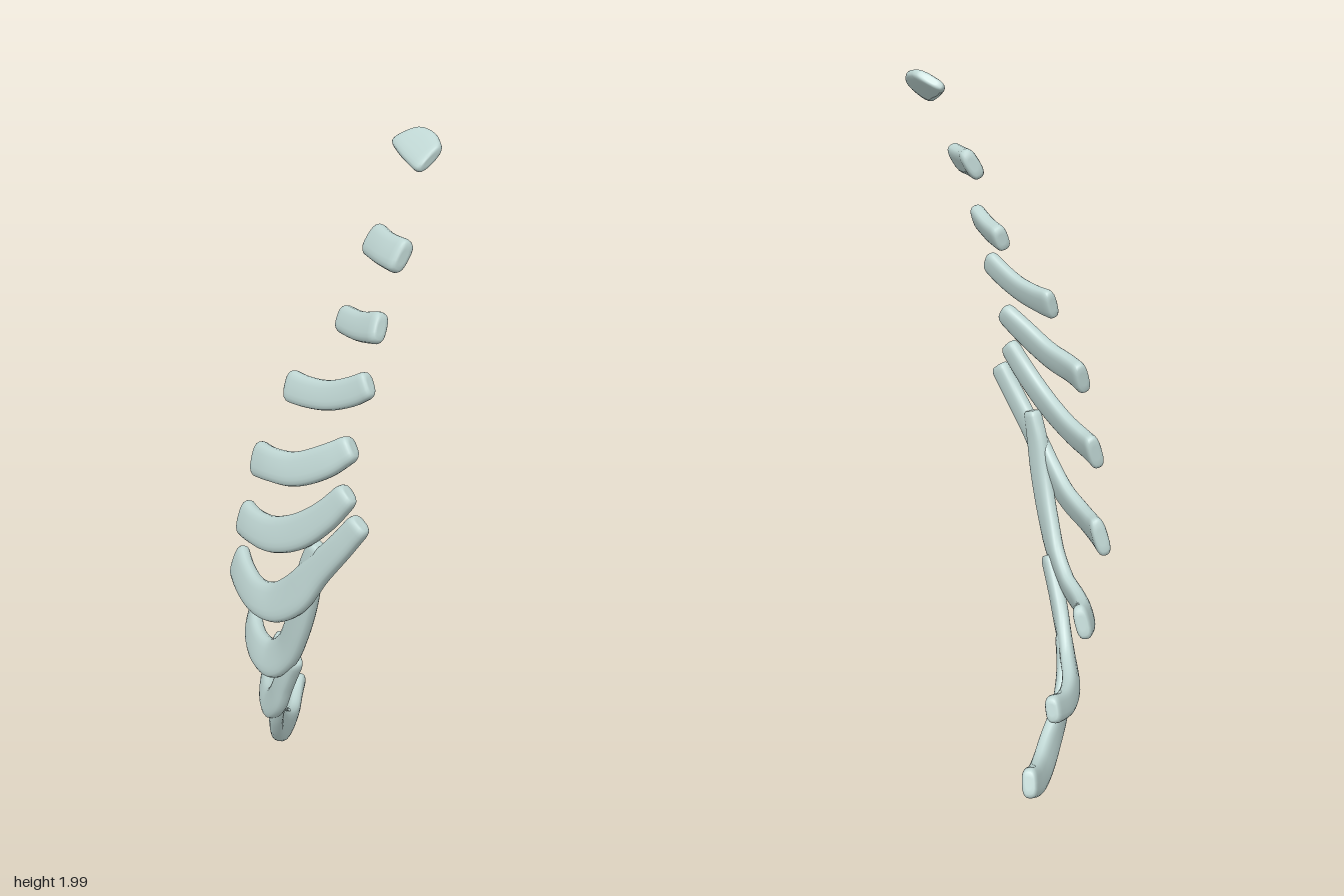
import * as THREE from 'three';

const SIDES = 20, STEPS = 36;

// Signed power that squares off an ellipse into a rounded bar section
const soft = (v) => Math.sign(v) * Math.pow(Math.abs(v), 0.72);

// Sweeps a flattened bar along stations [x, y, z, height].
// out: facing direction of the broad side (default points away from the chest axis)
// skew: slant of the two end cuts
function barGeometry(stations, { thick = 0.046, out = null, skew = [0, 0] } = {}) {
  const path = new THREE.CatmullRomCurve3(stations.map((s) => new THREE.Vector3(s[0], s[1], s[2])));
  const heights = new THREE.SplineCurve(stations.map((s, i) => new THREE.Vector2(i, s[3])));
  const r = 0.022 / path.getLength();

  // Rings as [position along path, scale], with rounded, closed ends
  const cap = [[0, 0], [0, 0.4], [0, 0.72], [0.25 * r, 0.88], [0.6 * r, 0.96], [r, 1]];
  const rings = [...cap];
  for (let i = 1; i < STEPS; i++) rings.push([r + (1 - 2 * r) * i / STEPS, 1]);
  rings.push(...cap.map(([t, s]) => [1 - t, s]).reverse());

  const pos = [], index = [];
  rings.forEach(([t, scale], i) => {
    const p = path.getPoint(t), T = path.getTangent(t);
    const N = out ? new THREE.Vector3(...out)
      : new THREE.Vector3(p.x - 0.22, 0, p.z + 0.4).normalize().setY(0.3);
    N.addScaledVector(T, -N.dot(T)).normalize();
    const W = new THREE.Vector3().crossVectors(N, T);
    W.addScaledVector(T, THREE.MathUtils.lerp(skew[0], skew[1], t));
    const h = heights.getPoint(t).y;
    for (let j = 0; j < SIDES; j++) {
      const a = j / SIDES * Math.PI * 2;
      const v = p.clone()
        .addScaledVector(N, soft(Math.cos(a)) * scale * thick / 2)
        .addScaledVector(W, soft(Math.sin(a)) * scale * h / 2);
      pos.push(v.x, v.y, v.z);
      if (i < rings.length - 1) {
        const k = (j + 1) % SIDES, A = i * SIDES, B = A + SIDES;
        index.push(A + j, B + j, A + k, B + j, B + k, A + k);
      }
    }
  });
  const g = new THREE.BufferGeometry();
  g.setAttribute('position', new THREE.Float32BufferAttribute(pos, 3));
  g.setIndex(index);
  g.computeVertexNormals();
  return g;
}

export function createModel() {
  const group = new THREE.Group();
  group.name = 'costalCartilages';
  const cartilage = new THREE.MeshStandardMaterial({ color: 0xbfd6d3 });
  cartilage.name = 'paleCartilage';

  const add = (name, stations, options) => {
    const mesh = new THREE.Mesh(barGeometry(stations, options), cartilage);
    mesh.name = name;
    group.add(mesh);
  };

  // Short upper pieces, tipped back
  add('firstCartilage', [
    [0.12, 1.976, -0.188, 0.085], [0.19, 1.958, -0.155, 0.105], [0.255, 1.935, -0.115, 0.09],
  ], { thick: 0.032, out: [-0.1, 0.76, 0.65], skew: [0.5, -0.3] });
  add('secondCartilage', [
    [0.147, 1.735, -0.02, 0.092], [0.23, 1.73, 0.03, 0.088], [0.318, 1.73, 0.07, 0.092],
  ], { out: [-0.4, 0.5, 0.75] });
  add('thirdCartilage', [
    [0.1, 1.525, 0.045, 0.076], [0.2, 1.532, 0.09, 0.078], [0.296, 1.556, 0.127, 0.085],
  ], { out: [-0.45, 0.37, 0.86] });

  // Middle pieces, rising toward the breastbone
  add('fourthCartilage', [
    [-0.008, 1.338, 0.141, 0.09], [0.07, 1.34, 0.156, 0.084], [0.16, 1.354, 0.167, 0.08],
    [0.24, 1.385, 0.17, 0.078], [0.296, 1.418, 0.168, 0.072],
  ], { thick: 0.04 });
  add('fifthCartilage', [
    [-0.08, 1.122, 0.195, 0.102], [0, 1.132, 0.222, 0.094], [0.1, 1.15, 0.236, 0.094],
    [0.2, 1.198, 0.232, 0.09], [0.28, 1.255, 0.214, 0.072],
  ]);
  add('sixthCartilage', [
    [-0.15, 0.918, 0.18, 0.108], [-0.08, 0.92, 0.212, 0.1], [0.02, 0.935, 0.242, 0.102],
    [0.13, 0.984, 0.258, 0.1], [0.22, 1.055, 0.258, 0.085], [0.295, 1.14, 0.248, 0.07],
  ]);

  // Long lower pieces that join into the costal margin
  add('seventhCartilage', [
    [-0.258, 0.712, 0.095, 0.118], [-0.18, 0.698, 0.15, 0.108], [-0.08, 0.695, 0.205, 0.105],
    [0.02, 0.72, 0.235, 0.115], [0.11, 0.785, 0.25, 0.115], [0.19, 0.885, 0.252, 0.09],
    [0.27, 0.98, 0.252, 0.075], [0.334, 1.065, 0.246, 0.068],
  ]);
  add('eighthCartilage', [
    [-0.292, 0.493, -0.015, 0.102], [-0.235, 0.472, 0.06, 0.098], [-0.15, 0.46, 0.125, 0.105],
    [-0.06, 0.475, 0.165, 0.115], [0.02, 0.545, 0.19, 0.11], [0.08, 0.65, 0.212, 0.1],
    [0.125, 0.76, 0.228, 0.09], [0.155, 0.87, 0.238, 0.08], [0.18, 0.955, 0.24, 0.055],
  ]);
  add('ninthCartilage', [
    [-0.336, 0.297, -0.175, 0.08], [-0.29, 0.262, -0.075, 0.076], [-0.21, 0.248, 0.03, 0.08],
    [-0.13, 0.264, 0.1, 0.095], [-0.06, 0.33, 0.145, 0.1], [-0.01, 0.42, 0.168, 0.08],
    [0.05, 0.53, 0.188, 0.065],
  ]);
  add('tenthCartilage', [
    [-0.335, 0.1, -0.262, 0.085], [-0.3, 0.068, -0.2, 0.09], [-0.25, 0.056, -0.125, 0.092],
    [-0.2, 0.08, -0.045, 0.1], [-0.155, 0.145, 0.04, 0.1], [-0.11, 0.235, 0.1, 0.09],
    [-0.065, 0.325, 0.138, 0.07],
  ]);

  return group;
}
